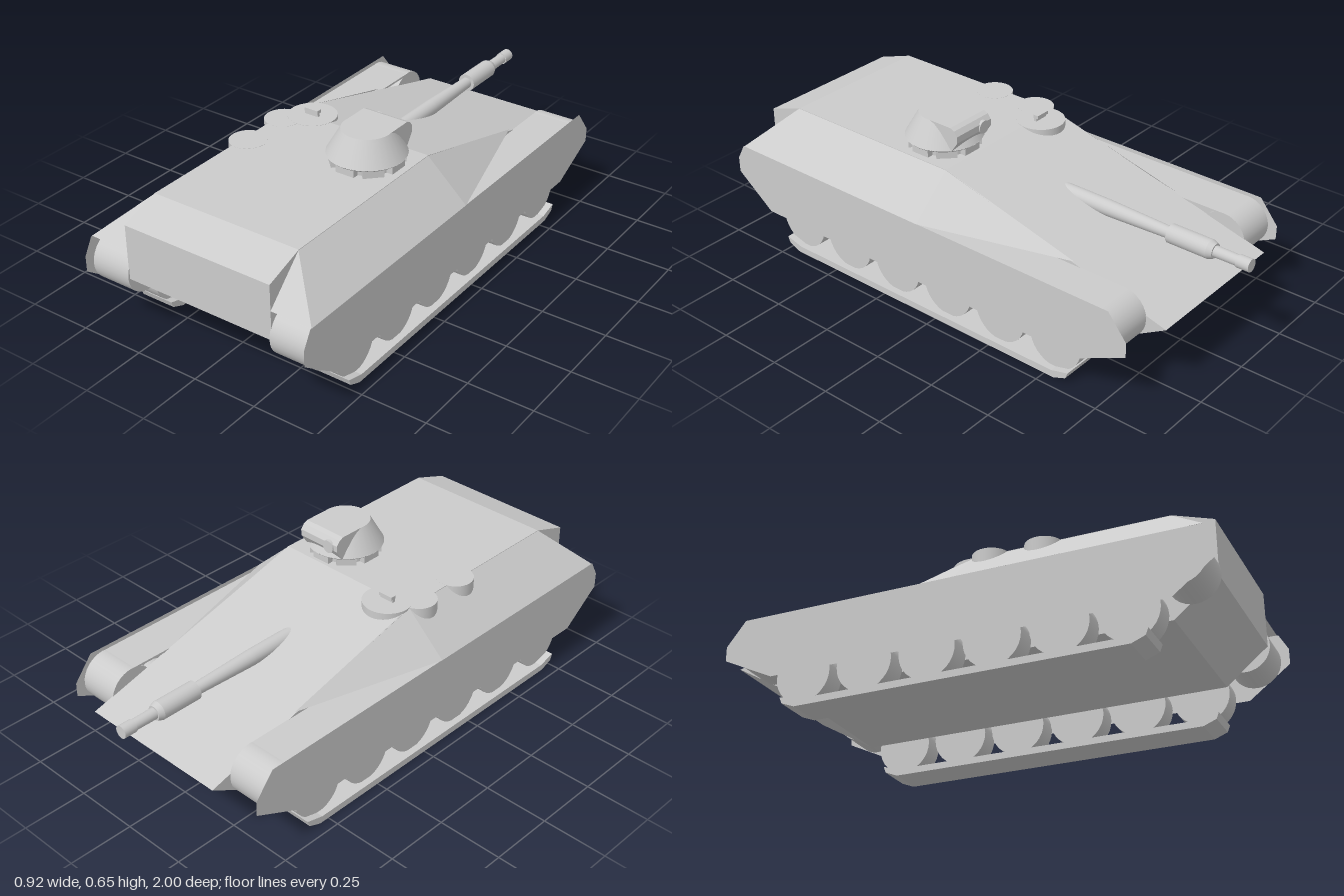
import * as THREE from 'three';

const grey = new THREE.MeshStandardMaterial({ color: 0xcccccc });
const flat = new THREE.MeshStandardMaterial({ color: 0xcccccc, flatShading: true, side: THREE.DoubleSide });

export function createModel() {
  const model = new THREE.Group();

  function add(name, geometry, x = 0, y = 0, z = 0, material = grey, parent = model) {
    const mesh = new THREE.Mesh(geometry, material);
    mesh.name = name;
    mesh.position.set(x, y, z);
    parent.add(mesh);
    return mesh;
  }

  // Side outline given as [z, y]; the shape is turned so its depth runs along x
  function outline(points) {
    return new THREE.Shape(points.map(([z, y]) => new THREE.Vector2(-z, y)));
  }
  function slab(points, width) {
    return new THREE.ExtrudeGeometry(outline(points), { depth: width, bevelEnabled: false })
      .translate(0, 0, -width / 2).rotateY(Math.PI / 2);
  }

  // Flat plates as a fan of corners
  function plate(corners) {
    const pos = [];
    for (let i = 1; i < corners.length - 1; i++) pos.push(...corners[0], ...corners[i], ...corners[i + 1]);
    const g = new THREE.BufferGeometry();
    g.setAttribute('position', new THREE.Float32BufferAttribute(pos, 3));
    g.computeVertexNormals();
    return g;
  }

  const across = (r, width, segments = 32) =>
    new THREE.CylinderGeometry(r, r, width, segments).rotateZ(Math.PI / 2);

  // Hull
  add('hull', slab([
    [0.96, 0.26], [0.96, 0.47], [0.81, 0.52], [0.07, 0.52],
    [-0.88, 0.265], [-0.65, 0.13], [0.8, 0.13],
  ], 0.604), 0, 0, 0, flat);

  // Sides: sloped armour, skirt, running gear
  for (const s of [1, -1]) {
    const side = new THREE.Group();
    side.name = s > 0 ? 'leftSide' : 'rightSide';
    model.add(side);

    const roofRear = [s * 0.3, 0.52, 0.81], roofFront = [s * 0.3, 0.52, 0.07];
    const edgeRear = [s * 0.462, 0.372, 0.96], edgeFront = [s * 0.462, 0.372, 0.07];
    const faces = {
      slopedArmour: [roofRear, edgeRear, edgeFront, roofFront],
      rearCorner: [roofRear, [s * 0.3, 0.372, 0.96], edgeRear],
      frontCorner: [roofFront, edgeFront, [s * 0.3, 0.372, -0.5]],
    };
    for (const [name, corners] of Object.entries(faces)) add(name, plate(corners), 0, 0, 0, flat, side);

    const skirt = new THREE.ShapeGeometry(outline([
      [0.965, 0.372], [1, 0.31], [1, 0.25], [0.84, 0.13],
      [-0.64, 0.13], [-0.835, 0.225], [-0.835, 0.28], [-0.76, 0.372],
    ])).rotateY(Math.PI / 2);
    add('skirt', skirt, s * 0.461, 0, 0, flat, side);

    add('rearDrum', across(0.093, 0.158), s * 0.379, 0.267, 0.875, grey, side);
    add('frontDrum', across(0.093, 0.158), s * 0.379, 0.267, -0.707, grey, side);
    add('upperTrack', new THREE.BoxGeometry(0.158, 0.008, 1.58), s * 0.379, 0.355, 0.085, grey, side);

    for (let i = 0; i < 6; i++) {
      add('roadWheel', across(0.107, 0.085), s * 0.387, 0.13, 0.69 - i * 0.243, grey, side);
    }
    add('lowerTrack', slab([
      [0.76, 0.045], [0.75, 0.02], [0.7, 0], [-0.54, 0],
      [-0.59, 0.02], [-0.6, 0.045], [-0.53, 0.026], [0.69, 0.026],
    ], 0.142), s * 0.385, 0, 0, flat, side);
  }

  // Gun, pointing along -z
  const gun = new THREE.Group();
  gun.name = 'gun';
  gun.position.set(-0.004, 0.41, 0);
  model.add(gun);
  const tube = (name, z0, z1, r0, r1) => add(name,
    new THREE.CylinderGeometry(r1, r0, z0 - z1, 24).rotateX(-Math.PI / 2), 0, 0, (z0 + z1) / 2, grey, gun);
  tube('barrelRear', -0.15, -0.42, 0.031, 0.03);
  tube('barrel', -0.42, -0.68, 0.03, 0.022);
  tube('barrelSleeve', -0.68, -0.84, 0.035, 0.035);
  tube('sleeveCollar', -0.84, -0.86, 0.035, 0.027);
  tube('barrelTip', -0.86, -0.96, 0.021, 0.02);
  tube('muzzle', -0.95, -1, 0.024, 0.024);

  // Commander's cupola with a ring of vision blocks
  const cupola = new THREE.Group();
  cupola.name = 'cupola';
  cupola.position.set(0.144, 0.52, 0.215);
  model.add(cupola);
  add('cupolaBase', new THREE.CylinderGeometry(0.115, 0.115, 0.035, 32), 0, 0.0175, 0, grey, cupola);
  for (let i = 0; i < 8; i++) {
    const a = i * Math.PI / 4;
    const block = add('visionBlock', new THREE.BoxGeometry(0.075, 0.028, 0.035),
      Math.sin(a) * 0.115, 0.014, Math.cos(a) * 0.115, grey, cupola);
    block.rotation.y = a;
  }
  add('cupolaRim', new THREE.CylinderGeometry(0.145, 0.137, 0.008, 32), 0, 0.031, 0, grey, cupola);
  add('cupolaCone', new THREE.CylinderGeometry(0.092, 0.145, 0.092, 32), 0, 0.08, 0, grey, cupola);

  // Sight housing with a rounded front
  add('sightHousing', slab([
    [0, 0.035], [0, 0.126], [-0.11, 0.126], [-0.128, 0.118],
    [-0.142, 0.1], [-0.142, 0.075], [-0.125, 0.05], [-0.115, 0.035],
  ], 0.182), 0, 0, 0, flat, cupola);
  add('sightLens', new THREE.CylinderGeometry(0.025, 0.025, 0.02, 20).rotateX(Math.PI / 2),
    -0.05, 0.085, -0.137, grey, cupola);

  // Driver's hatch, side bulges and periscope
  add('driverHatch', new THREE.CylinderGeometry(0.092, 0.092, 0.07, 32), -0.212, 0.486, 0.055);
  for (const z of [0.138, 0.34]) {
    add('sideBulge', new THREE.CylinderGeometry(0.07, 0.07, 0.1, 32), -0.284, 0.4705, z);
  }
  add('periscope', new THREE.BoxGeometry(0.058, 0.013, 0.022), -0.211, 0.539, 0.055);
  add('periscopeBase', new THREE.BoxGeometry(0.058, 0.014, 0.012), -0.211, 0.526, 0.058);

  return model;
}
